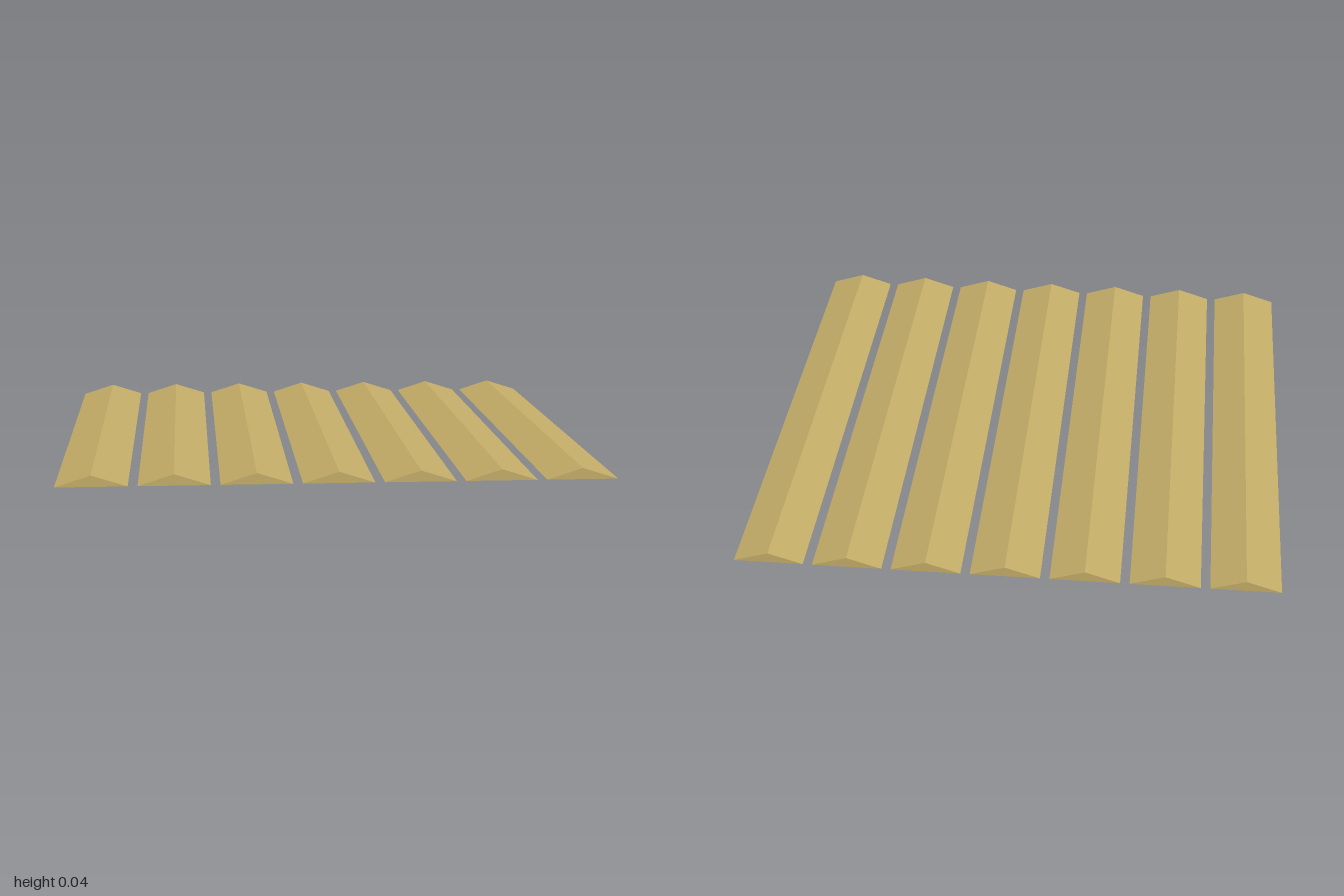
import * as THREE from 'three';

const COUNT = 7, PITCH = 2 / COUNT;
const HALF_WIDTH = 0.126, HEIGHT = 0.04, HALF_LENGTH = 1;

// Hollow ridged slat: two slopes and two triangular ends, open underneath
function ridgedSlat() {
  const section = [[-HALF_WIDTH, 0], [0, HEIGHT], [HALF_WIDTH, 0]];
  const [fl, fr, ft] = [0, 2, 1].map(i => [...section[i], HALF_LENGTH]);
  const [bl, br, bt] = [0, 2, 1].map(i => [...section[i], -HALF_LENGTH]);
  const triangles = [
    fl, ft, bt, fl, bt, bl, // left slope
    ft, fr, br, ft, br, bt, // right slope
    fl, fr, ft,             // front end
    br, bl, bt,             // back end
  ];
  const geometry = new THREE.BufferGeometry();
  geometry.setAttribute('position', new THREE.Float32BufferAttribute(triangles.flat(), 3));
  geometry.computeVertexNormals();
  return geometry;
}

export function createModel() {
  const group = new THREE.Group();
  group.name = 'ridgedSlats';
  const wood = new THREE.MeshStandardMaterial({ color: 0xc4ad68, side: THREE.DoubleSide });
  wood.name = 'paleWood';
  const geometry = ridgedSlat();

  // Row of parallel slats
  for (let i = 0; i < COUNT; i++) {
    const slat = new THREE.Mesh(geometry, wood);
    slat.name = `slat${i + 1}`;
    slat.position.x = (i - (COUNT - 1) / 2) * PITCH;
    group.add(slat);
  }
  return group;
}
